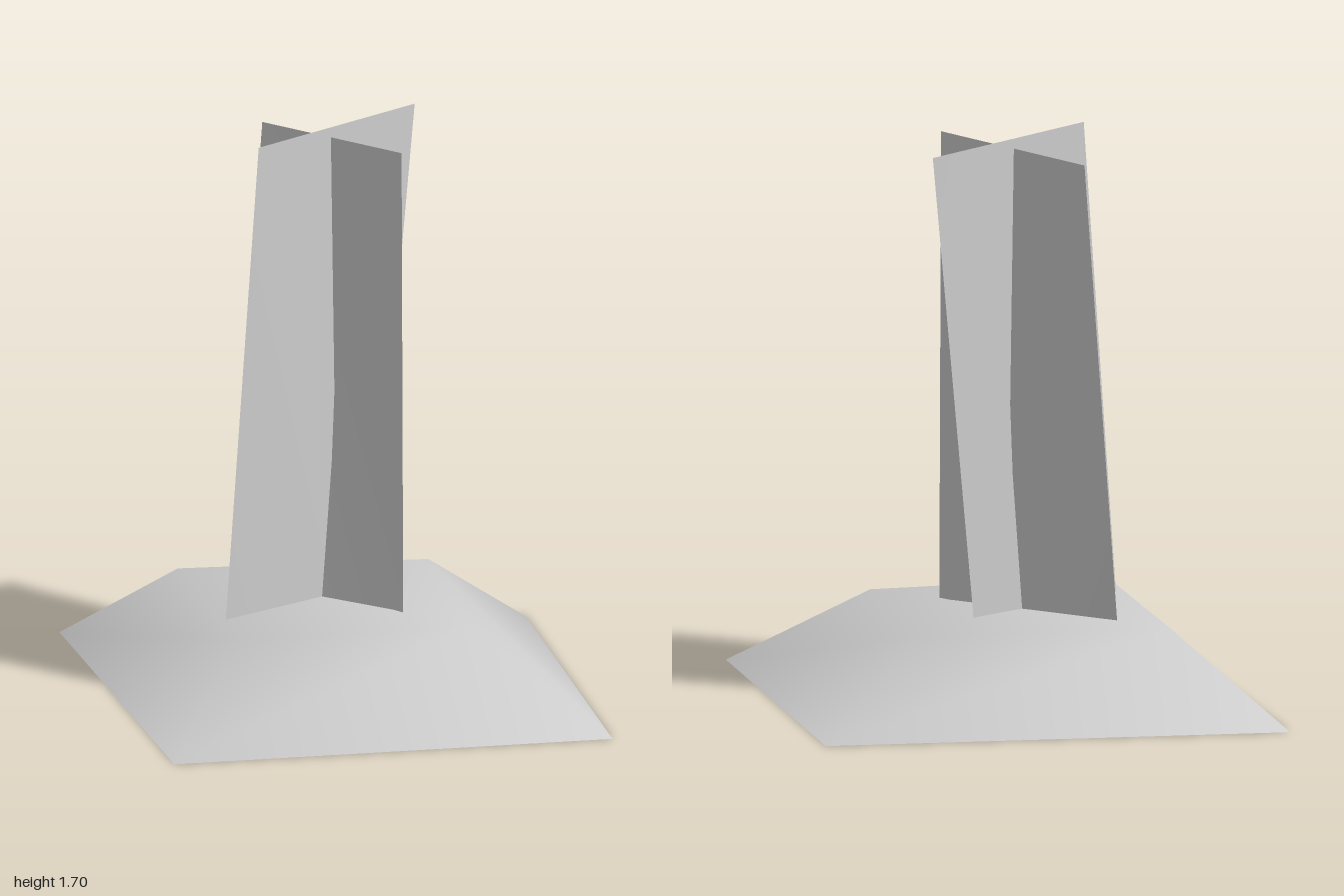
import * as THREE from 'three';

const grey = new THREE.MeshStandardMaterial({ color: 0xcccccc, side: THREE.DoubleSide });
grey.name = 'pale grey';

function surface(name, corners, triangles) {
  const g = new THREE.BufferGeometry();
  g.setAttribute('position', new THREE.Float32BufferAttribute(corners.flat(), 3));
  g.setIndex(triangles);
  g.computeVertexNormals();
  const mesh = new THREE.Mesh(g, grey);
  mesh.name = name;
  return mesh;
}

// Open-bottomed mound: an irregular four-sided frustum with smooth normals
function mound() {
  const base = [[-1, 0.04], [0.15, 0.95], [1, -0.07], [-0.02, -0.95]];
  const top = [[-0.57, 0.02], [0.04, 0.53], [0.49, -0.04], [-0.05, -0.52]];
  const corners = [
    ...base.map(([x, z]) => [x, 0, z]),
    ...top.map(([x, z]) => [x, 0.268, z]),
  ];
  const tris = [4, 5, 6, 4, 6, 7];
  for (let i = 0; i < 4; i++) {
    const j = (i + 1) % 4;
    tris.push(i, j, j + 4, i, j + 4, i + 4);
  }
  return surface('mound', corners, tris);
}

// Thin twisted upright panel, folded along the diagonal from topA to bottomB
function panel(name, bottomA, bottomB, topB, topA) {
  return surface(name, [bottomA, bottomB, topB, topA], [0, 1, 3, 1, 2, 3]);
}

export function createModel() {
  const model = new THREE.Group();
  model.name = 'crossedPanelsOnMound';
  model.add(
    mound(),
    panel('widePanel', [-0.382, 0.16, 0.025], [0.25, 0.16, -0.02], [0.238, 1.68, -0.027], [-0.345, 1.657, -0.1]),
    panel('deepPanel', [-0.118, 0.16, 0.375], [-0.014, 0.16, -0.19], [-0.03, 1.695, -0.43], [-0.083, 1.702, 0.25]),
  );
  return model;
}
